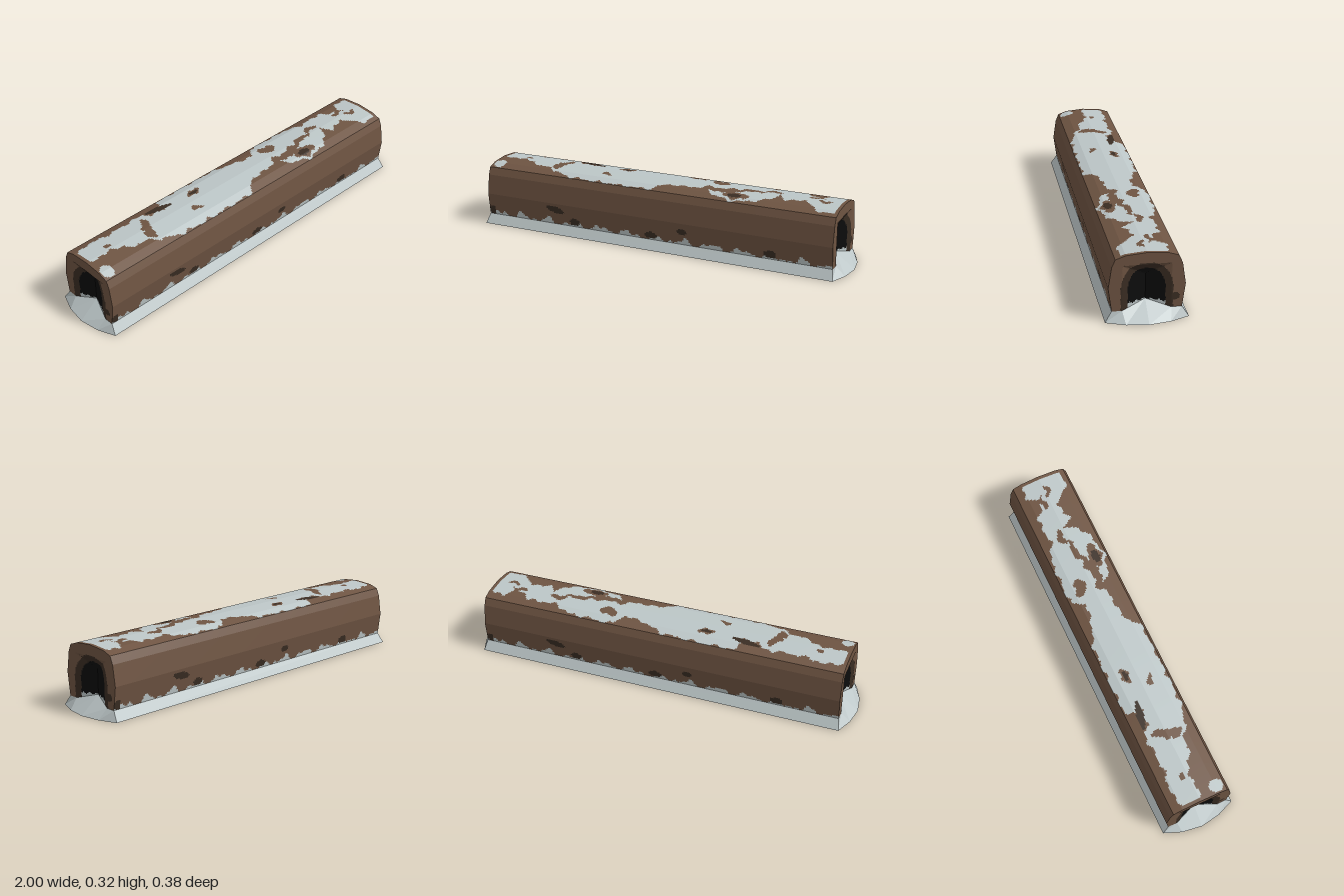
import * as THREE from 'three';

const makeMaterial = (name, color) =>
  new THREE.MeshStandardMaterial({ name, color, side: THREE.DoubleSide });

// Half cross-section of the log, bottom to top: [z, y]
const PROFILE = [[0.157, 0.048], [0.172, 0.16], [0.157, 0.26], [0.141, 0.298], [0.095, 0.314], [0, 0.322]];
const END = 0.94;

// Edges of the snow on the roof: [x, z]
const SNOW_BACK = [[-0.94, -0.08], [-0.85, -0.11], [-0.72, -0.09], [-0.53, -0.1], [-0.5, -0.06], [-0.42, -0.06],
  [-0.41, -0.13], [-0.24, -0.14], [-0.02, -0.13], [0.08, -0.09], [0.19, -0.07], [0.24, -0.135], [0.48, -0.13],
  [0.56, -0.09], [0.72, -0.1], [0.76, -0.05], [0.82, -0.06], [0.85, -0.1], [0.92, -0.1]];
const SNOW_FRONT = [[-0.93, 0.0], [-0.86, 0.02], [-0.8, 0], [-0.72, 0.05], [-0.63, 0.07], [-0.57, 0.1],
  [-0.5, 0.125], [-0.4, 0.135], [-0.02, 0.135], [0.05, 0.07], [0.16, 0.06], [0.25, 0.04], [0.3, 0.1],
  [0.4, 0.135], [0.52, 0.11], [0.59, 0.07], [0.62, 0], [0.66, 0.06], [0.75, 0.02], [0.83, 0.11], [0.92, 0.12]];

// Ellipses: [centre a, centre b, radius a, radius b, tilt]
const ROOF_KNOTS = [[-0.44, -0.075, 0.075, 0.018, 0.2], [0.41, 0.085, 0.035, 0.02, 0], [-0.23, -0.055, 0.03, 0.012, 0]];
const ROOF_BARE = [[-0.8, -0.03, 0.018, 0.014, 0], [-0.57, -0.02, 0.03, 0.05, 0.4], [-0.59, 0.04, 0.02, 0.03, 0],
  [-0.23, -0.057, 0.05, 0.02, 0], [-0.3, 0.05, 0.025, 0.015, 0], [0.29, -0.06, 0.045, 0.03, 0],
  [0.33, 0.045, 0.1, 0.022, 0.1], [0.42, 0.085, 0.07, 0.03, 0], [0.44, 0.01, 0.1, 0.016, -0.2],
  [0.57, -0.03, 0.05, 0.018, 0], [0.79, -0.03, 0.04, 0.015, 0], [0.85, 0.01, 0.03, 0.016, 0]];
const ROOF_DRIFTS = [[-0.9, 0.1, 0.032, 0.036, 0]];
const SIDE_KNOTS = [[-0.54, 0.128, 0.05, 0.018, -0.2], [0.17, 0.115, 0.028, 0.014, 0], [-0.92, 0.07, 0.018, 0.025, 0],
  [-0.43, 0.072, 0.028, 0.02, 0], [0, 0.072, 0.035, 0.018, 0], [0.63, 0.072, 0.032, 0.02, 0]];

const inside = (list, a, b) => list.some(([ca, cb, ra, rb, tilt]) => {
  const c = Math.cos(tilt), s = Math.sin(tilt), da = a - ca, db = b - cb;
  return ((da * c + db * s) / ra) ** 2 + ((db * c - da * s) / rb) ** 2 < 1;
});

function edgeAt(points, x) {
  for (let i = 1; i < points.length; i++) {
    const [x0, z0] = points[i - 1], [x1, z1] = points[i];
    if (x <= x1) return z0 + (z1 - z0) * Math.max(0, (x - x0) / (x1 - x0));
  }
  return 0;
}

// Which colour shows at each place on the log
function roofColour(x, z) {
  const wobble = 0.006 * Math.sin(x * 57) + 0.005 * Math.sin(x * 101 + 1);
  if (inside(ROOF_KNOTS, x, z)) return 'knot';
  if (inside(ROOF_DRIFTS, x, z)) return 'snow';
  if (Math.abs(x) > 0.925 || inside(ROOF_BARE, x + wobble, z + wobble)) return 'bark';
  return z > edgeAt(SNOW_BACK, x) + wobble && z < edgeAt(SNOW_FRONT, x) - wobble ? 'snow' : 'bark';
}

function sideColour(x, y) {
  if (inside(SIDE_KNOTS, x, y)) return 'knot';
  const drift = 0.06 + 0.014 * Math.sin(x * 41 + 0.6) + 0.009 * Math.sin(x * 73) + 0.005 * Math.sin(x * 139);
  return y < drift ? 'snow' : 'bark';
}

function endColour(z, y) {
  const arch = (width, top, spring) =>
    Math.abs(z) < width * Math.sqrt(Math.max(0, 1 - (Math.max(0, y - spring) / (top - spring)) ** 2));
  if (Math.abs(z) < 0.083 && y < 0.08 - 0.1 * Math.max(0, Math.abs(z) - 0.04) + 0.004 * Math.sin(z * 190)) return 'snow';
  if (arch(0.084, 0.24, 0.15)) return 'hollow';
  if (arch(0.117, 0.273, 0.15) || inside([[-0.125, 0.102, 0.021, 0.018, 0]], z, y)) return 'knot';
  return 'bark';
}

// Splits a polyline into short steps, keeping its corners
function subdivide(points, step) {
  const out = [points[0]];
  for (let i = 1; i < points.length; i++) {
    const [a0, b0] = points[i - 1], [a1, b1] = points[i];
    const n = Math.ceil(Math.hypot(a1 - a0, b1 - b0) / step);
    for (let k = 1; k <= n; k++) out.push([a0 + (a1 - a0) * k / n, b0 + (b1 - b0) * k / n]);
  }
  return out;
}

function quadMesh(name, corners, material) {
  const geometry = new THREE.BufferGeometry();
  geometry.setAttribute('position', new THREE.Float32BufferAttribute(corners, 3));
  geometry.computeVertexNormals();
  const mesh = new THREE.Mesh(geometry, material);
  mesh.name = name;
  return mesh;
}

const quad = (a, b, c, d) => [...a, ...b, ...c, ...a, ...c, ...d];

// A grid surface split into one mesh per colour; u runs -1..1 along each row
function paintedSurface(name, rows, columns, point, colour, materials) {
  const group = new THREE.Group();
  group.name = name;
  const cells = {};
  for (let r = 0; r + 1 < rows.length; r++) {
    for (let c = 0; c < columns; c++) {
      const u0 = 2 * c / columns - 1, u1 = 2 * (c + 1) / columns - 1;
      const a = point(u0, rows[r]), b = point(u1, rows[r]);
      const d = point(u0, rows[r + 1]), e = point(u1, rows[r + 1]);
      const key = colour(...[0, 1, 2].map(i => (a[i] + b[i] + d[i] + e[i]) / 4));
      (cells[key] ??= []).push(...quad(a, b, e, d));
    }
  }
  for (const key in cells) group.add(quadMesh(`${name} ${key}`, new Float32Array(cells[key]), materials[key]));
  return group;
}

export function createModel() {
  const materials = {
    bark: makeMaterial('bark brown', 0x6e5442),
    knot: makeMaterial('dark wood', 0x3a2d23),
    hollow: makeMaterial('hollow black', 0x0c0c0c),
    snow: makeMaterial('snow', 0xbcc6c7),
  };
  const model = new THREE.Group();
  model.name = 'snowyLog';

  // Rounded roof with snow patches
  const half = PROFILE.slice(3);
  const roof = [...half, ...half.slice(0, -1).reverse().map(([z, y]) => [-z, y])];
  model.add(paintedSurface('roof', subdivide(roof, 0.008), 220,
    (u, [z, y]) => [u * END, y, z], (x, y, z) => roofColour(x, z), materials));

  // Two side walls and two ends, the second of each turned half way round
  const depth = (z, y) => 0.04 * Math.max(0, Math.min(1 - Math.abs(z) / 0.11, (0.265 - y) / 0.06));
  for (const side of ['front', 'back']) {
    const wall = paintedSurface(`${side}Wall`, subdivide(PROFILE.slice(0, 4), 0.008), 220,
      (u, [z, y]) => [u * END, y, z], (x, y) => sideColour(x, y), materials);
    const end = paintedSurface(side === 'front' ? 'leftEnd' : 'rightEnd', subdivide(PROFILE, 0.006), 72,
      (u, [w, y]) => [END - depth(u * w, y), y, -u * w], (x, y, z) => endColour(z, y), materials);
    if (side === 'back') wall.rotation.y = end.rotation.y = Math.PI;
    model.add(wall, end);
  }

  // Snow bank around the foot, bulging out at both ends
  const top = [[0.94, 0.048, 0.157], [0.94, 0.048, 0.11], [0.9, 0.08, 0], [0.94, 0.048, -0.11], [0.94, 0.048, -0.157]];
  const foot = [[0.95, 0, 0.188], [0.985, 0, 0.1], [1, 0, 0], [0.985, 0, -0.1], [0.95, 0, -0.188]];
  const ring = pts => [...pts, ...pts.map(([x, y, z]) => [-x, y, -z])];
  const upper = ring(top), lower = ring(foot), bank = [];
  for (let i = 0; i < upper.length; i++) {
    const j = (i + 1) % upper.length;
    bank.push(...quad(lower[i], lower[j], upper[j], upper[i]));
  }
  model.add(quadMesh('snowBank', bank, materials.snow));
  return model;
}
